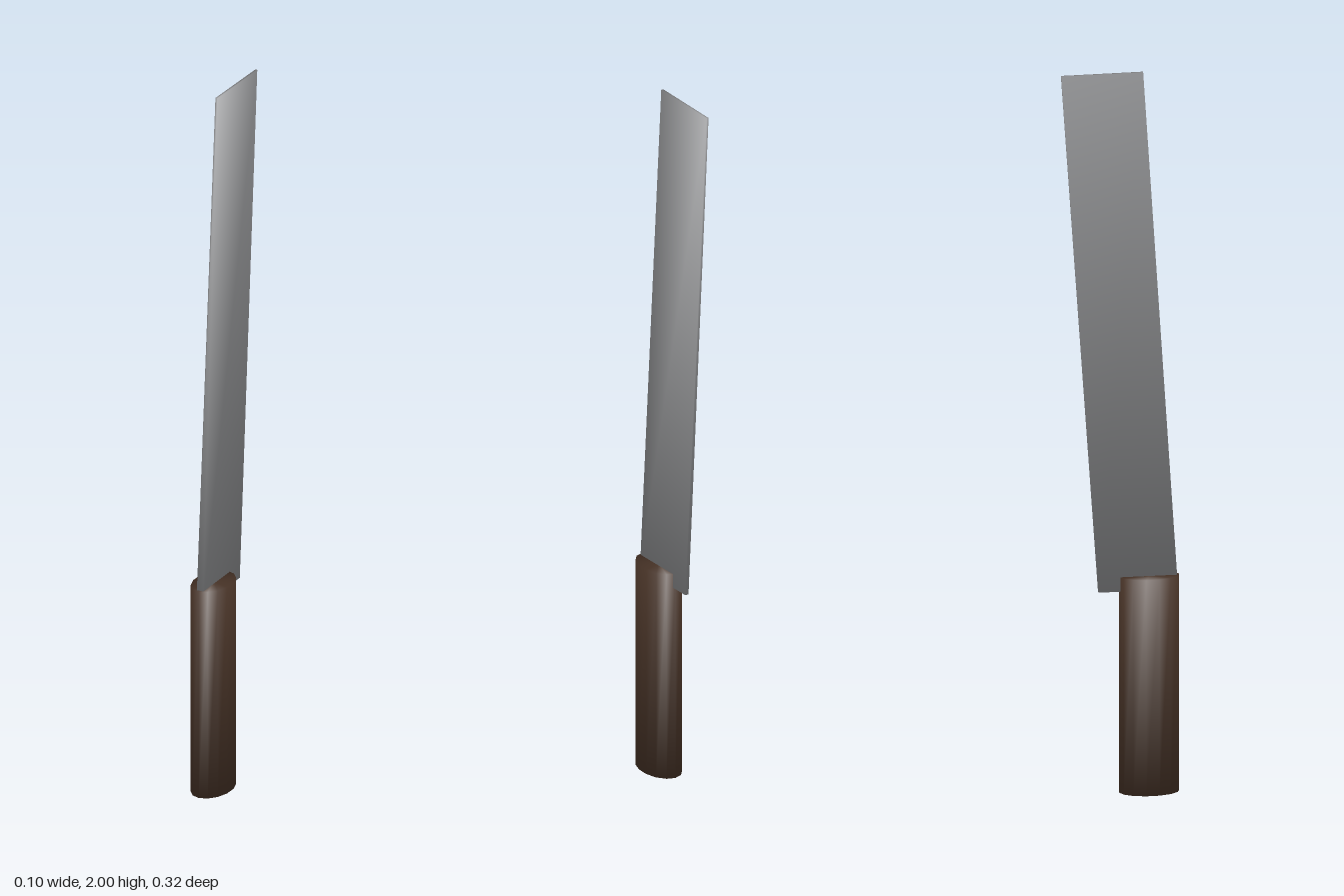
import * as THREE from 'three';

const steel = new THREE.MeshStandardMaterial({ color: 0x8b8c8e });
steel.name = 'steel';
const wood = new THREE.MeshStandardMaterial({ color: 0x463226 });
wood.name = 'dark wood';

// Oval grip, 14 sides, with normals blended softly over the rims
function makeHandle() {
  const rx = 0.053, rz = 0.082, height = 0.6;
  const geo = new THREE.CylinderGeometry(1, 1, height, 14);
  geo.scale(rx, 1, rz);
  const pos = geo.attributes.position, normal = geo.attributes.normal;
  const n = new THREE.Vector3();
  for (let i = 0; i < pos.count; i++) {
    n.set(pos.getX(i) / rx ** 2, 0, pos.getZ(i) / rz ** 2).normalize();
    n.y = 0.85 * Math.sign(pos.getY(i));
    n.normalize();
    normal.setXYZ(i, n.x, n.y, n.z);
  }
  const mesh = new THREE.Mesh(geo, wood);
  mesh.name = 'handle';
  mesh.position.set(0, height / 2, 0.079);
  return mesh;
}

// Slanted, tapering blade: eight shared corners with soft corner normals
function makeBlade() {
  // [half thickness, y, z] for edge and spine, at the bottom and the top
  const corners = [
    [0.005, 0.56, -0.06], [0.003, 2, -0.162],  // cutting edge
    [0.01, 0.56, 0.156], [0.003, 2, 0.062],    // spine
  ];
  const positions = [], normals = [];
  corners.forEach(([half, y, z], i) => {
    for (const side of [-1, 1]) {
      positions.push(side * half, y, z);
      const n = new THREE.Vector3(side, i % 2 ? 1 : -1, i < 2 ? -1 : 1).normalize();
      normals.push(n.x, n.y, n.z);
    }
  });
  const faces = [
    [5, 1, 3, 7], [0, 4, 6, 2], // flat sides
    [4, 5, 7, 6], [1, 0, 2, 3], // spine and edge
    [6, 7, 3, 2], [0, 1, 5, 4], // tip and heel
  ];
  const geo = new THREE.BufferGeometry();
  geo.setAttribute('position', new THREE.Float32BufferAttribute(positions, 3));
  geo.setAttribute('normal', new THREE.Float32BufferAttribute(normals, 3));
  geo.setIndex(faces.flatMap(([a, b, c, d]) => [a, b, c, a, c, d]));
  const mesh = new THREE.Mesh(geo, steel);
  mesh.name = 'blade';
  return mesh;
}

export function createModel() {
  const group = new THREE.Group();
  group.name = 'knife';
  group.add(makeHandle(), makeBlade());
  return group;
}
